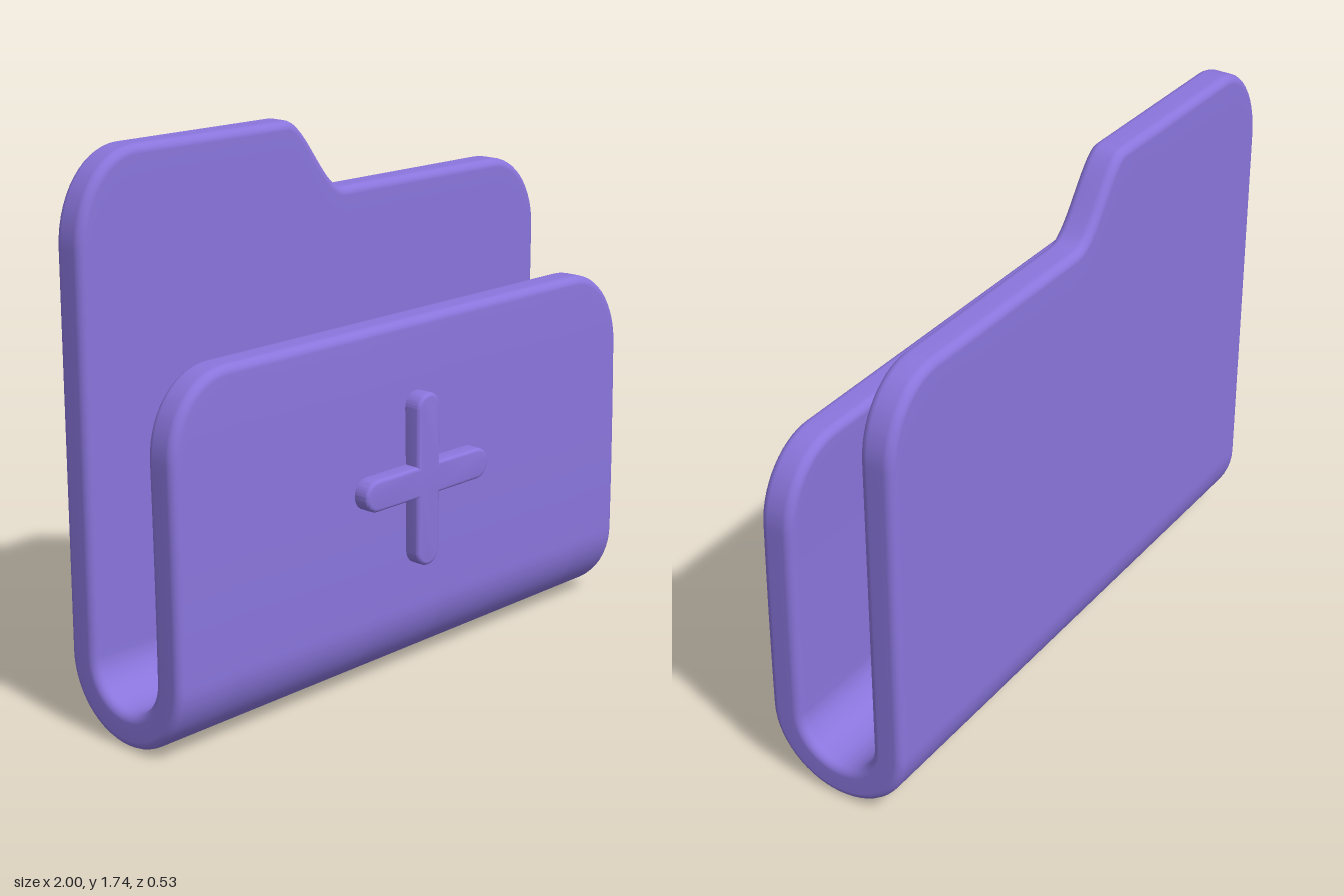
import * as THREE from 'three';
import { mergeVertices, toCreasedNormals } from 'three/addons/utils/BufferGeometryUtils.js';

const HALF = 0.055;          // half the sheet thickness
const BEND = 0.1875;         // radius of the fold's centre line
const BEND_Y = BEND + HALF;  // height where the fold begins
const MID_Z = -0.0225;
const ROUND = 0.028;         // edge rounding
const N_FRONT = 14, N_BEND = 28, N_BACK = 14, ROWS = N_FRONT + N_BEND + N_BACK;

// Drop of a rounded upper corner at x
function cornerDrop(x, ry) {
  const u = Math.min(1, Math.max(0, (Math.abs(x) - 0.78) / 0.22));
  return ry * (1 - Math.sqrt(1 - u * u));
}
const frontTop = x => 1.155 - cornerDrop(x, 0.25);
const backTop = x =>
  1.735 - 0.232 * THREE.MathUtils.smoothstep(x, -0.18, 0.07) - cornerDrop(x, x < 0 ? 0.28 : 0.25);

// Columns: dense at the corners and the tab slope
function columns() {
  const half = [];
  for (let i = 0; i <= 14; i++) half.push(0.78 + 0.22 * Math.sin((i / 14) * Math.PI / 2));
  const mid = [-0.6, -0.4];
  for (let i = 0; i <= 18; i++) mid.push(-0.22 + (0.33 * i) / 18);
  mid.push(0.3, 0.55);
  return [...half.map(x => -x).reverse(), ...mid, ...half];
}

// Top edge moved inward by d along its normal
function insetEdge(xs, top, d) {
  const last = xs.length - 1;
  return xs.map((x, i) => {
    if (i === 0) return [x + d, top(x)];
    if (i === last) return [x - d, top(x)];
    const dx = xs[i + 1] - xs[i - 1], dy = top(xs[i + 1]) - top(xs[i - 1]);
    const l = Math.hypot(dx, dy);
    return [x + (d * dy) / l, top(x) - (d * dx) / l];
  });
}

// Point on the folded sheet: row j runs front top -> fold -> back top
function foldPoint(front, back, j, offset) {
  const x = THREE.MathUtils.lerp(front[0], back[0], j / ROWS);
  if (j <= N_FRONT) {
    const y = THREE.MathUtils.lerp(front[1], BEND_Y, j / N_FRONT);
    const lean = 0.015 * ((y - BEND_Y) / 0.9) ** 2;
    return [x, y, MID_Z + BEND - lean + offset];
  }
  if (j <= N_FRONT + N_BEND) {
    const a = ((j - N_FRONT) / N_BEND) * Math.PI, r = BEND + offset;
    return [x, BEND_Y - r * Math.sin(a), MID_Z + r * Math.cos(a)];
  }
  const y = THREE.MathUtils.lerp(BEND_Y, back[1], (j - N_FRONT - N_BEND) / N_BACK);
  return [x, y, MID_Z - BEND - offset];
}

function foldedSheet() {
  const xs = columns(), cols = xs.length - 1;
  // Rounded rim: layers from the outer face to the inner face
  const layers = [];
  for (let k = 0; k <= 5; k++) {
    const a = (k / 5) * Math.PI / 2;
    layers.push([ROUND * (1 - Math.sin(a)), HALF - ROUND + ROUND * Math.cos(a)]);
  }
  for (let k = 5; k >= 0; k--) layers.push([layers[k][0], -layers[k][1]]);
  const sheets = layers.map(([d, offset]) => {
    const f = insetEdge(xs, frontTop, d), b = insetEdge(xs, backTop, d);
    return (i, j) => foldPoint(f[i], b[i], j, offset);
  });

  const pos = [];
  const quad = (a, b, c, d) => pos.push(...a, ...b, ...c, ...a, ...c, ...d);
  const outer = sheets[0], inner = sheets[sheets.length - 1];
  for (let i = 0; i < cols; i++) {
    for (let j = 0; j < ROWS; j++) {
      quad(outer(i, j), outer(i, j + 1), outer(i + 1, j + 1), outer(i + 1, j));
      quad(inner(i, j), inner(i + 1, j), inner(i + 1, j + 1), inner(i, j + 1));
    }
  }
  // Rim all the way round the sheet
  const loop = [];
  for (let j = 0; j < ROWS; j++) loop.push([0, j]);
  for (let i = 0; i < cols; i++) loop.push([i, ROWS]);
  for (let j = ROWS; j > 0; j--) loop.push([cols, j]);
  for (let i = cols; i > 0; i--) loop.push([i, 0]);
  for (let k = 0; k < sheets.length - 1; k++) {
    loop.forEach((p, n) => {
      const q = loop[(n + 1) % loop.length];
      quad(sheets[k](...p), sheets[k + 1](...p), sheets[k + 1](...q), sheets[k](...q));
    });
  }
  const raw = new THREE.BufferGeometry();
  raw.setAttribute('position', new THREE.Float32BufferAttribute(pos, 3));
  const geo = mergeVertices(raw, 1e-5);
  geo.computeVertexNormals();
  return geo;
}

// Plus with round-ended arms
function plusSign() {
  const w = 0.05, reach = 0.277 - w;
  const shape = new THREE.Shape();
  for (let k = 0; k < 4; k++) {
    const a = (k * Math.PI) / 2, c = Math.cos(a), s = Math.sin(a);
    const put = (x, y) => [x * c - y * s, x * s + y * c];
    if (k === 0) shape.moveTo(...put(w, -w));
    shape.lineTo(...put(reach, -w));
    shape.absarc(...put(reach, 0), w, a - Math.PI / 2, a + Math.PI / 2, false);
    if (k < 3) shape.lineTo(...put(w, w));
  }
  shape.closePath();
  const bevel = 0.012;
  const geo = new THREE.ExtrudeGeometry(shape, {
    depth: 0.08 - 2 * bevel, curveSegments: 16,
    bevelEnabled: true, bevelThickness: bevel, bevelSize: bevel, bevelOffset: -bevel, bevelSegments: 4,
  });
  geo.translate(-0.006, 0.655, 0.19 + bevel);
  return toCreasedNormals(geo, 0.7);
}

export function createModel() {
  const group = new THREE.Group();
  group.name = 'folder';
  const material = new THREE.MeshStandardMaterial({ color: 0x8a75dc });
  const add = (name, geometry) => {
    const mesh = new THREE.Mesh(geometry, material);
    mesh.name = name;
    group.add(mesh);
  };
  add('foldedCover', foldedSheet());
  add('plusSign', plusSign());
  return group;
}
